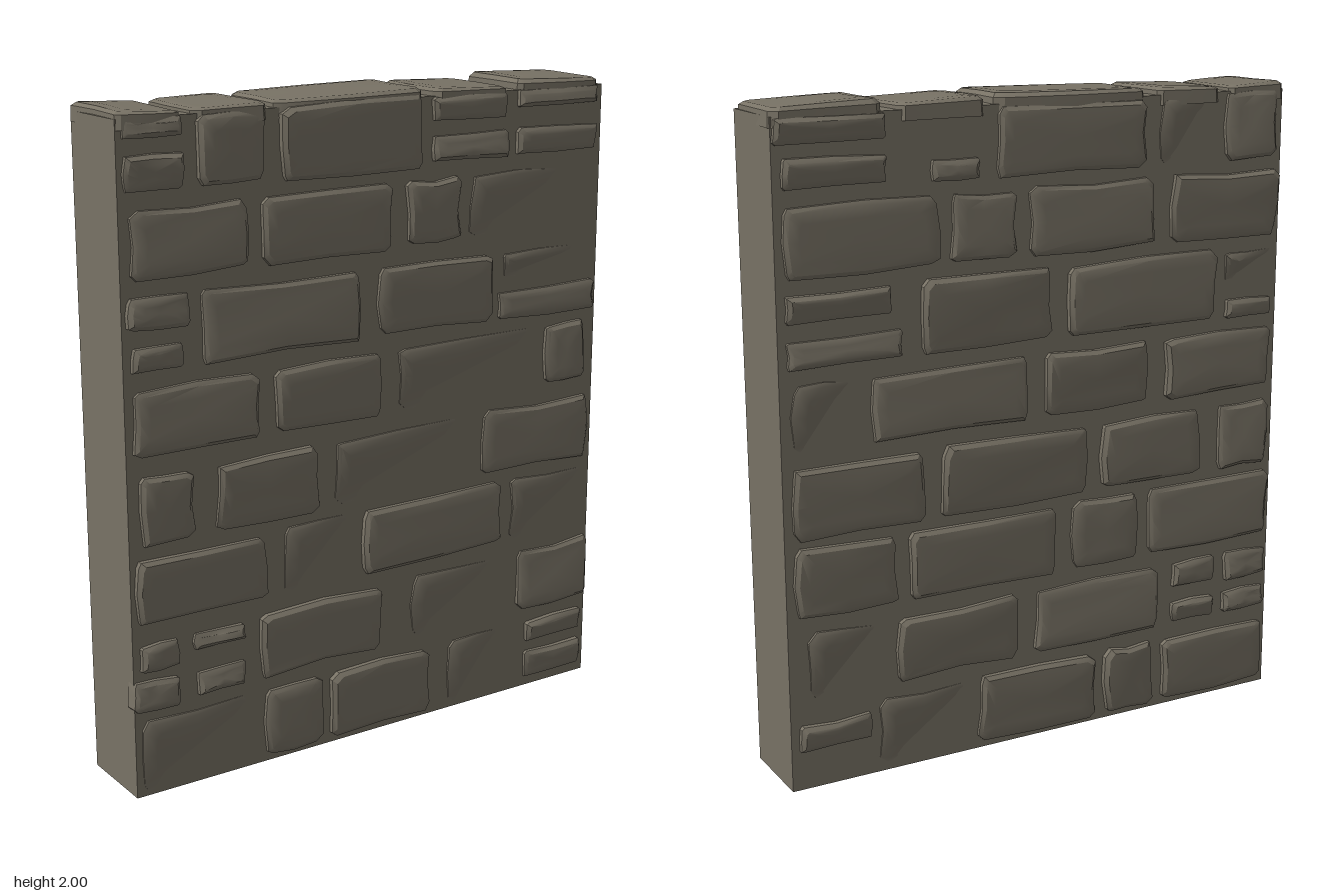
import * as THREE from 'three';
import { toCreasedNormals } from 'three/addons/utils/BufferGeometryUtils.js';

let seed = 7;
const rnd = () => ((seed = (seed * 16807) % 2147483647) / 2147483647);
const jit = (a) => (rnd() * 2 - 1) * a;

// One worn stone rising from the plane h = 0: loops from buried base to bevelled, tilted face
function stoneGeometry(x0, x1, y0, y1, height, tiltX, tiltY) {
  const cx = (x0 + x1) / 2, cy = (y0 + y1) / 2, hw = (x1 - x0) / 2, hh = (y1 - y0) / 2;
  const c = Math.min(hw, hh) * 0.16, j = Math.min(0.008, hh * 0.12);
  const outline = [
    [-hw + c, -hh], [0, -hh], [hw - c, -hh], [hw, -hh + c], [hw, 0], [hw, hh - c],
    [hw - c, hh], [0, hh], [-hw + c, hh], [-hw, hh - c], [-hw, 0], [-hw, -hh + c],
  ].map(([u, v]) => [u + jit(j), v + jit(j)]);
  const n = outline.length, pos = [], index = [];
  const loops = [[0, -0.03], [0.002, 0.6], [0.014, 1], [0.045, 1.06]]; // inset, height share
  for (const [inset, share] of loops) {
    const su = 1 - Math.min(inset / hw, 0.6), sv = 1 - Math.min(inset / hh, 0.6);
    for (const [u, v] of outline) {
      const top = height + tiltX * u / hw + tiltY * v / hh;
      pos.push(cx + u * su, cy + v * sv, share < 0 ? -0.03 : top * share);
    }
  }
  for (let k = 0; k < loops.length - 1; k++) {
    for (let i = 0; i < n; i++) {
      const a = k * n + i, b = k * n + (i + 1) % n;
      index.push(a, b, b + n, a, b + n, a + n);
    }
  }
  pos.push(cx, cy, height * 1.06);
  const last = (loops.length - 1) * n;
  for (let i = 0; i < n; i++) index.push(last + i, last + (i + 1) % n, loops.length * n);
  const g = new THREE.BufferGeometry();
  g.setAttribute('position', new THREE.Float32BufferAttribute(pos, 3));
  g.setIndex(index);
  return toCreasedNormals(g, 0.5);
}

export function createModel() {
  seed = 7;
  const stone = new THREE.MeshStandardMaterial({ color: 0x787265 });
  stone.name = 'greyBrownStone';
  const wall = new THREE.Group();
  wall.name = 'stoneWall';

  // Solid core
  const core = new THREE.Mesh(new THREE.BoxGeometry(1.69, 1.965, 0.262), stone);
  core.name = 'wallCore';
  core.position.y = 1.965 / 2;
  wall.add(core);

  const front = new THREE.Group(), back = new THREE.Group(), top = new THREE.Group();
  front.name = 'frontStones';
  back.name = 'backStones';
  top.name = 'capStones';
  front.position.z = 0.131;
  back.position.z = -0.131;
  back.rotation.y = Math.PI;
  top.position.y = 1.965;
  top.rotation.x = -Math.PI / 2;
  wall.add(front, back, top);

  const put = (group, name, geo) => {
    const m = new THREE.Mesh(geo, stone);
    m.name = name;
    group.add(m);
  };
  // A course of stones: [x0, x1, y0?, y1?]; sunk stones show only their raised side
  const course = (group, y0, y1, list, sunk = []) => {
    const flip = group === back;
    const add = ([a, b, lo = y0, hi = y1], height, tx, ty) =>
      put(group, 'faceStone', stoneGeometry(flip ? -b : a, flip ? -a : b, lo, hi, height, tx, ty));
    for (const s of list) add(s, 0.02 + jit(0.002), jit(0.005), jit(0.004));
    for (const s of sunk) add(s, 0.001, -0.007, 0.006);
  };

  // Front courses, top to bottom
  course(front, 1.77, 1.96, [[-0.83, -0.65, 1.91, 1.965], [-0.83, -0.65, 1.77, 1.87], [-0.6, -0.39],
    [-0.33, 0.15, 1.76, 1.97], [0.19, 0.46, 1.89, 1.965], [0.19, 0.47, 1.77, 1.85],
    [0.51, 0.82, 1.91, 1.965], [0.51, 0.82, 1.77, 1.85]]);
  course(front, 1.53, 1.72, [[-0.81, -0.45], [-0.4, 0.04], [0.1, 0.29]], [[0.34, 0.68]]);
  course(front, 1.27, 1.48, [[-0.83, -0.64, 1.39, 1.48], [-0.82, -0.66, 1.27, 1.34], [-0.6, -0.07],
    [0, 0.42], [0.45, 0.83, 1.26, 1.35]], [[0.47, 0.75, 1.39, 1.47]]);
  course(front, 1.03, 1.22, [[-0.82, -0.42], [-0.36, 0.01], [0.64, 0.8]], [[0.08, 0.58]]);
  course(front, 0.77, 0.97, [[-0.81, -0.64], [-0.56, -0.22], [0.4, 0.82]], [[-0.15, 0.3]]);
  course(front, 0.53, 0.73, [[-0.83, -0.4], [-0.06, 0.47]], [[-0.33, -0.11], [0.52, 0.82]]);
  course(front, 0.28, 0.48, [[-0.82, -0.7, 0.39, 0.47], [-0.65, -0.48, 0.42, 0.47],
    [-0.85, -0.7, 0.27, 0.36], [-0.64, -0.48, 0.28, 0.35], [-0.42, 0.01], [0.55, 0.84]], [[0.13, 0.45]]);
  course(front, 0.02, 0.23, [[-0.41, -0.21], [-0.17, 0.2], [0.59, 0.82, 0.16, 0.23],
    [0.59, 0.82, 0.03, 0.12]], [[-0.83, -0.46], [0.28, 0.48]]);

  // Back courses, top to bottom
  course(back, 1.76, 1.96, [[0.51, 0.84, 1.89, 1.965], [0.51, 0.82, 1.77, 1.85], [0.22, 0.37, 1.76, 1.82],
    [-0.34, 0.16], [-0.82, -0.63]], [[-0.58, -0.4]]);
  course(back, 1.52, 1.72, [[0.35, 0.82], [0.1, 0.31], [-0.37, 0.05], [-0.83, -0.44]]);
  course(back, 1.27, 1.48, [[0.5, 0.82, 1.4, 1.48], [0.47, 0.82, 1.27, 1.35], [-0.02, 0.41],
    [-0.61, -0.08], [-0.82, -0.65, 1.26, 1.32]], [[-0.82, -0.65, 1.38, 1.47]]);
  course(back, 1.03, 1.22, [[0.06, 0.57], [-0.36, 0], [-0.82, -0.43]], [[0.63, 0.81]]);
  course(back, 0.77, 0.98, [[0.41, 0.82], [-0.15, 0.35], [-0.56, -0.2], [-0.82, -0.63]]);
  course(back, 0.53, 0.74, [[0.5, 0.82], [-0.04, 0.46], [-0.33, -0.1], [-0.83, -0.37]]);
  course(back, 0.28, 0.48, [[0.09, 0.5], [-0.41, 0.03], [-0.63, -0.47, 0.4, 0.48], [-0.63, -0.47, 0.28, 0.35],
    [-0.83, -0.67, 0.39, 0.48], [-0.83, -0.67, 0.28, 0.35]], [[0.56, 0.78]]);
  course(back, 0.02, 0.23, [[0.59, 0.82, 0.12, 0.2], [-0.18, 0.23], [-0.4, -0.22], [-0.83, -0.44]],
    [[0.27, 0.56]]);

  // Cap stones spanning the wall's thickness: x0, x1, height, tilt
  for (const [x0, x1, h, t] of [[-0.845, -0.645, 0.018, -0.004], [-0.61, -0.38, 0.018, 0.003],
    [-0.35, 0.16, 0.025, 0.004], [0.19, 0.47, 0.02, -0.004], [0.51, 0.845, 0.028, -0.005]]) {
    put(top, 'capStone', stoneGeometry(x0, x1, -0.142, 0.142, h, t, 0.002));
  }
  return wall;
}
